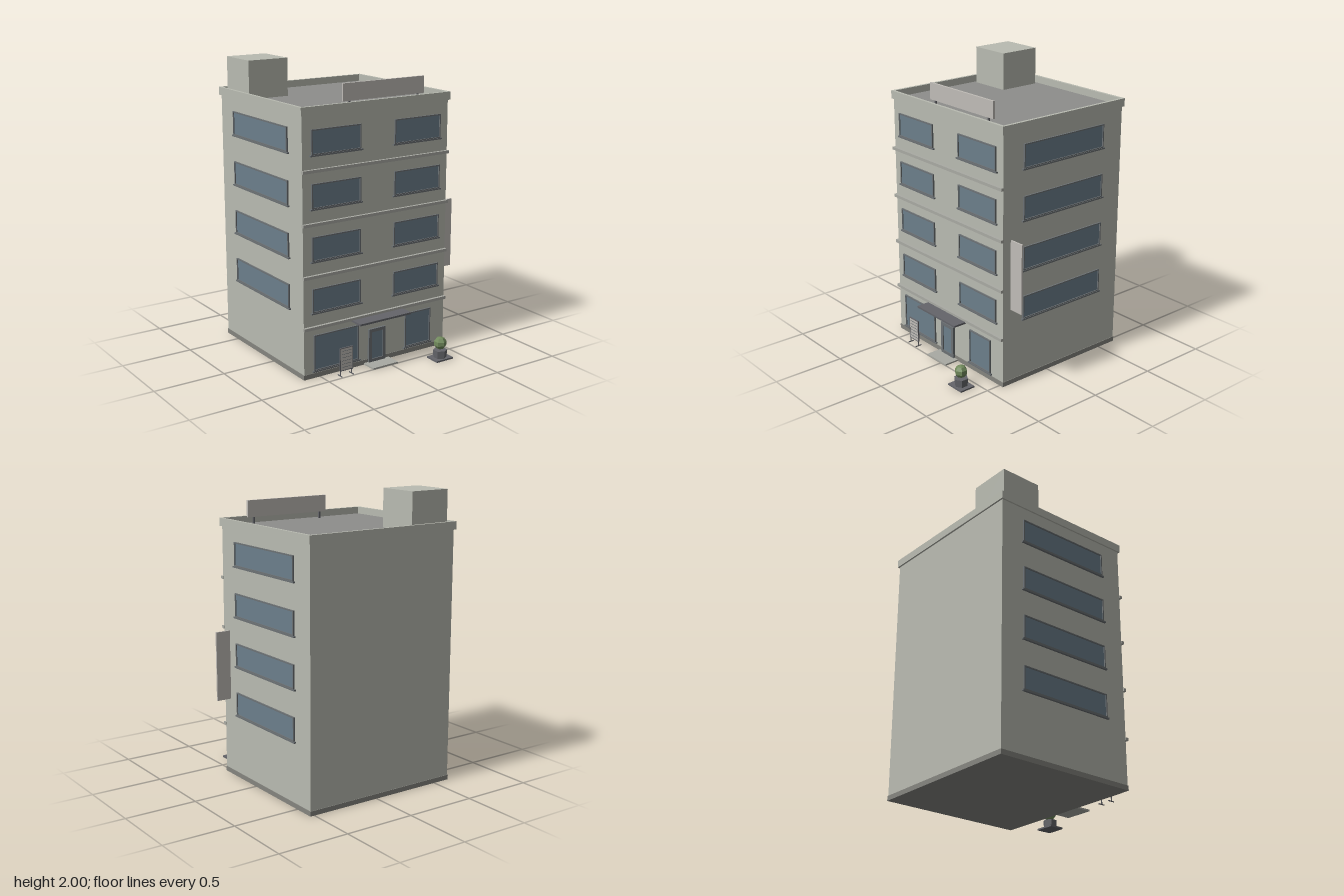
import * as THREE from 'three';

const mat = (color) => new THREE.MeshStandardMaterial({ color });
const M = {
  wall: mat(0xb9bbb1), trim: mat(0xa9aaa3), plinth: mat(0x85857f), roof: mat(0x8e8e8c),
  frame: mat(0x6c7174), glass: mat(0x6c7f8b), sign: mat(0xc0bcb7), dark: mat(0x64656a),
  leaf: mat(0x718a5c),
};
M.leaf.flatShading = true;
M.dark.flatShading = true;

// Main wall planes
const X0 = -0.62, X1 = 0.528, Z0 = -0.645, Z1 = 0.39;
const CX = (X0 + X1) / 2, CZ = (Z0 + Z1) / 2;

// Box given by its minimum and maximum on each axis
function box(parent, name, material, x0, x1, y0, y1, z0, z1) {
  const mesh = new THREE.Mesh(new THREE.BoxGeometry(x1 - x0, y1 - y0, z1 - z0), material);
  mesh.position.set((x0 + x1) / 2, (y0 + y1) / 2, (z0 + z1) / 2);
  mesh.name = name;
  parent.add(mesh);
  return mesh;
}

// Rectangular ring of w x h with a border t, extruded along +z
function ringGeometry(w, h, t, depth) {
  const rect = (Type, a, b) => new Type([[-a, -b], [a, -b], [a, b], [-a, b]].map((p) => new THREE.Vector2(...p)));
  const shape = rect(THREE.Shape, w / 2, h / 2);
  shape.holes.push(rect(THREE.Path, w / 2 - t, h / 2 - t));
  return new THREE.ExtrudeGeometry(shape, { depth, bevelEnabled: false });
}

// Framed opening facing +z with its base at the origin, optionally with a sill
function framedPane(name, w, h, t, sill) {
  const g = new THREE.Group();
  g.name = name;
  const frame = new THREE.Mesh(ringGeometry(w, h, t, 0.011), M.frame);
  frame.position.y = h / 2;
  frame.name = 'frame';
  g.add(frame);
  box(g, 'glass', M.glass, -w / 2 + t, w / 2 - t, t, h - t, 0, 0.004);
  if (sill) box(g, 'sill', M.frame, -w / 2 - 0.012, w / 2 + 0.012, -0.009, 0.001, 0, 0.015);
  return g;
}

function createBuilding() {
  const g = new THREE.Group();
  g.name = 'building';
  box(g, 'walls', M.wall, X0, X1, 0.005, 1.735, Z0, Z1);
  box(g, 'plinth', M.plinth, X0 - 0.004, X1 + 0.004, 0, 0.033, Z0 - 0.004, Z1 + 0.004);
  box(g, 'roofDeck', M.roof, X0 + 0.002, X1 - 0.002, 1.73, 1.742, Z0 + 0.002, Z1 - 0.002);

  // Parapet around the roof
  const parapet = new THREE.Mesh(ringGeometry(X1 - X0 + 0.024, Z1 - Z0 + 0.024, 0.02, 0.055), M.wall);
  parapet.rotation.x = -Math.PI / 2;
  parapet.position.set(CX, 1.735, CZ);
  parapet.name = 'parapet';
  g.add(parapet);
  box(g, 'stairHouse', M.wall, -0.59, -0.292, 1.74, 2, -0.61, -0.312);

  // Four upper floors: a band, two front windows and one long window per side
  for (let i = 0; i < 4; i++) {
    const y = 0.449 + i * 0.345;
    box(g, 'floorBand', M.trim, X0 - 0.006, X1 + 0.004, y - 0.111, y - 0.091, Z1 - 0.002, Z1 + 0.02);
    for (const [x0, x1] of [[-0.555, -0.181], [0.086, 0.463]]) {
      const win = framedPane('frontWindow', x1 - x0, 0.162, 0.008, true);
      win.position.set((x0 + x1) / 2, y, Z1);
      g.add(win);
    }
    for (const side of [-1, 1]) {
      const win = framedPane('sideWindow', 0.697, 0.162, 0.008, true);
      win.rotation.y = side * Math.PI / 2;
      win.position.set(side > 0 ? X1 : X0, y, -0.124);
      g.add(win);
    }
  }
  return g;
}

function createEntrance() {
  const g = new THREE.Group();
  g.name = 'entrance';
  for (const [x0, x1] of [[-0.547, -0.195], [0.188, 0.406]]) {
    const win = framedPane('shopWindow', x1 - x0, 0.245, 0.008, true);
    win.position.set((x0 + x1) / 2, 0.05, Z1);
    g.add(win);
  }
  const door = framedPane('door', 0.136, 0.235, 0.022, false);
  door.position.set(-0.049, 0.01, Z1 + 0.006);
  g.add(door);
  box(g, 'doorBacking', M.frame, -0.117, 0.019, 0.01, 0.245, Z1 - 0.004, Z1 + 0.006);
  box(g, 'doorStep', M.trim, -0.15, 0.054, 0, 0.011, Z1, 0.504);
  box(g, 'canopy', M.dark, -0.255, 0.159, 0.329, 0.342, Z1, 0.503);
  return g;
}

function createSigns() {
  const g = new THREE.Group();
  g.name = 'signs';
  // Roof board on two short posts
  box(g, 'roofBoard', M.sign, -0.277, 0.366, 1.788, 1.902, 0.321, 0.337);
  for (const x of [-0.227, 0.317]) {
    box(g, 'roofBoardPost', M.dark, x - 0.006, x + 0.006, 1.74, 1.79, 0.323, 0.335);
  }
  // Board projecting from the side wall
  box(g, 'bladeSign', M.sign, X1, 0.634, 0.545, 1.027, 0.315, 0.327);

  // Free-standing notice board with ruled strips and two footed legs
  const stand = new THREE.Group();
  stand.name = 'noticeBoard';
  box(stand, 'panel', M.sign, -0.394, -0.298, 0.04, 0.193, 0.467, 0.473);
  const rim = new THREE.Mesh(ringGeometry(0.102, 0.16, 0.005, 0.009), M.dark);
  rim.position.set(-0.346, 0.116, 0.4655);
  rim.name = 'panelRim';
  stand.add(rim);
  for (let i = 0; i < 6; i++) {
    const y = 0.06 + i * 0.0225;
    box(stand, 'panelStrip', M.frame, -0.384, -0.308, y, y + 0.003, 0.472, 0.475);
  }
  for (const x of [-0.393, -0.303]) {
    box(stand, 'leg', M.dark, x - 0.002, x + 0.003, 0.004, 0.04, 0.467, 0.473);
    box(stand, 'foot', M.dark, x - 0.002, x + 0.003, 0, 0.006, 0.443, 0.492);
  }
  g.add(stand);
  return g;
}

function createPlanter() {
  const g = new THREE.Group();
  g.name = 'planter';
  box(g, 'slab', M.dark, -0.069, 0.069, 0, 0.011, -0.056, 0.056);
  const pot = new THREE.Mesh(new THREE.CylinderGeometry(0.049, 0.045, 0.054, 6), M.dark);
  pot.position.y = 0.037;
  pot.name = 'pot';
  const trunk = new THREE.Mesh(new THREE.CylinderGeometry(0.008, 0.008, 0.03, 6), M.dark);
  trunk.position.y = 0.07;
  trunk.name = 'trunk';
  const bush = new THREE.Mesh(new THREE.SphereGeometry(0.045, 6, 5), M.leaf);
  bush.rotation.y = Math.PI / 2;
  bush.position.y = 0.112;
  bush.name = 'bush';
  g.add(pot, trunk, bush);
  g.position.set(0.342, 0, 0.594);
  return g;
}

export function createModel() {
  const model = new THREE.Group();
  model.name = 'officeBuilding';
  model.add(createBuilding(), createEntrance(), createSigns(), createPlanter());
  return model;
}
